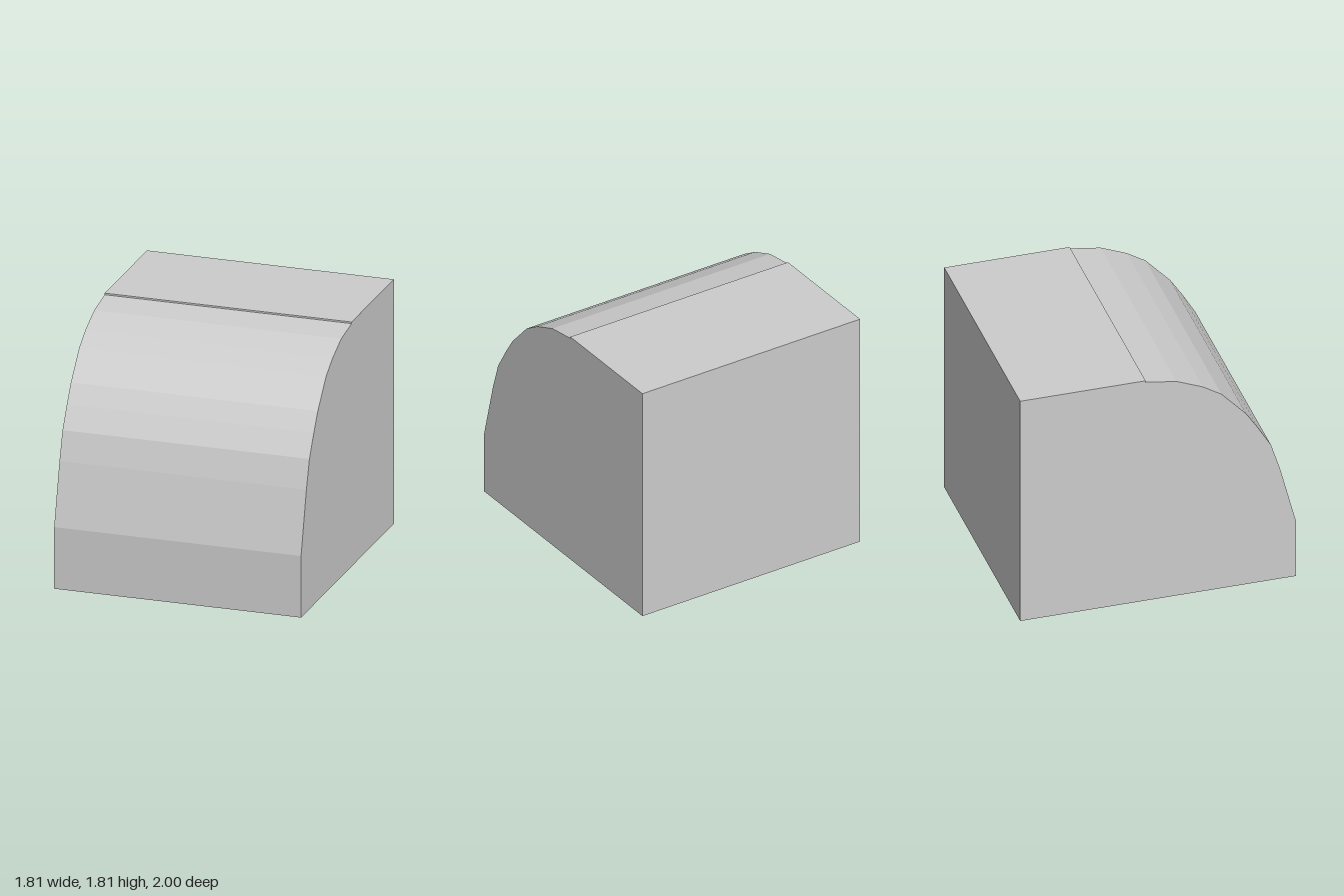
import * as THREE from 'three';

const WIDTH = 1.81;

// Side profile as [z, y]: flat base, faceted curved front, small step, flat top
const PROFILE = [
  [-1, 0], [1, 0], [1, 0.455], [0.885, 0.905], [0.82, 1.11], [0.725, 1.27],
  [0.64, 1.4], [0.46, 1.595], [0.325, 1.68], [0.135, 1.76],
  [-0.09, 1.795], [-0.09, 1.807], [-1, 1.807],
];

export function createModel() {
  const group = new THREE.Group();
  group.name = 'curvedBlock';

  // Extrude the profile across the width, then turn it to face +z
  const shape = new THREE.Shape(PROFILE.map(([z, y]) => new THREE.Vector2(z, y)));
  const geometry = new THREE.ExtrudeGeometry(shape, { depth: WIDTH, bevelEnabled: false });
  geometry.translate(0, 0, -WIDTH / 2);
  geometry.rotateY(-Math.PI / 2);

  const body = new THREE.Mesh(
    geometry,
    new THREE.MeshStandardMaterial({ color: 0xcccccc, flatShading: true }),
  );
  body.name = 'body';
  group.add(body);
  return group;
}
